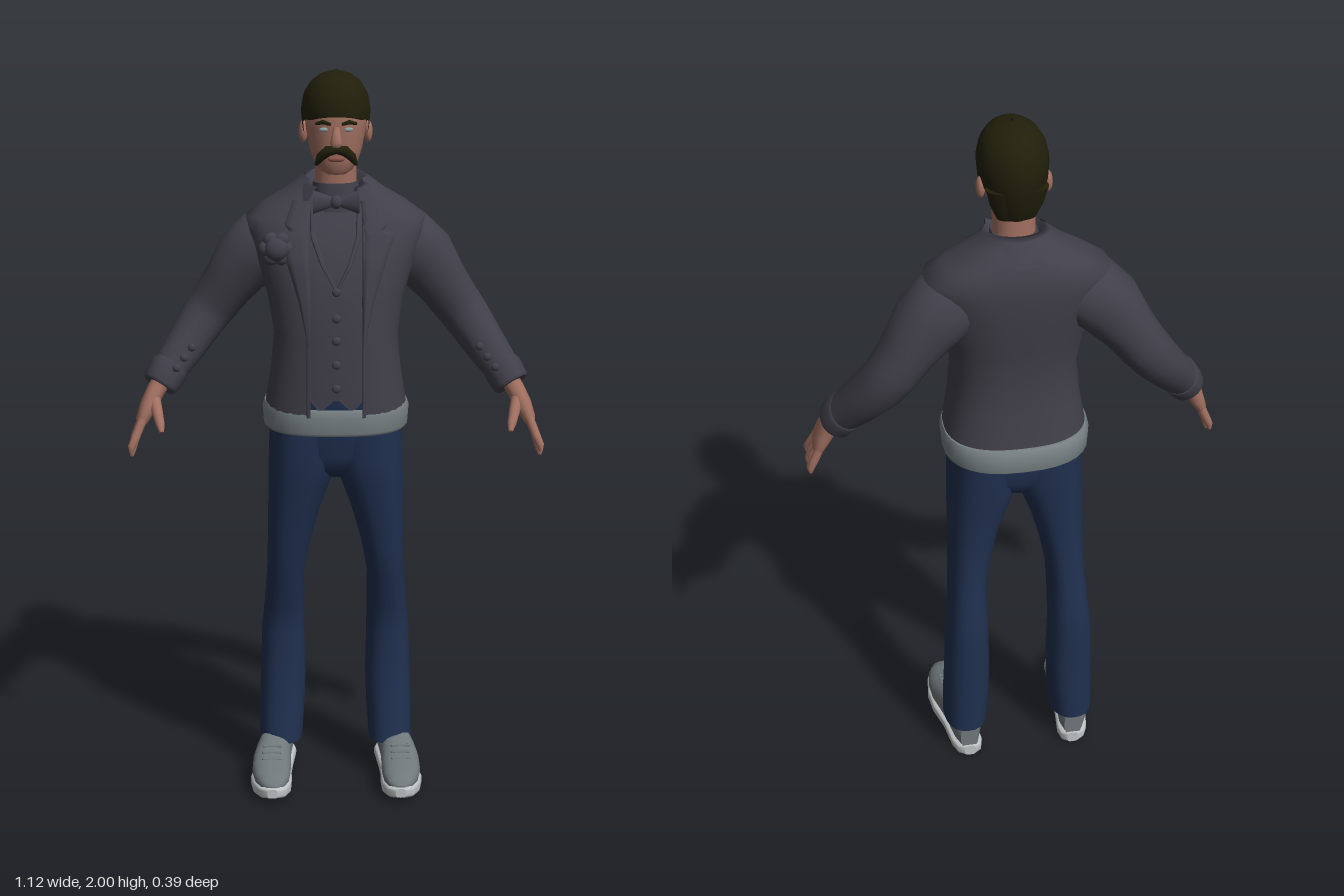
import * as THREE from 'three';

const V = (x, y, z) => new THREE.Vector3(x, y, z);
const X = V(1, 0, 0), Y = V(0, 1, 0), Z = V(0, 0, 1);
const paint = (name, color, side = THREE.FrontSide) => {
  const m = new THREE.MeshStandardMaterial({ color, side });
  m.name = name;
  return m;
};

// Rounded-rectangle outline (n = 2 is an ellipse) around a centre, in the plane of u and v
function ring(c, u, v, a, b, n = 2, from = 0, to = Math.PI * 2, steps = 32) {
  const closed = to - from > 6.28, pts = [];
  for (let i = 0; i < steps + (closed ? 0 : 1); i++) {
    const t = from + ((to - from) * i) / steps, co = Math.cos(t), si = Math.sin(t);
    pts.push(c.clone()
      .addScaledVector(u, a * Math.sign(co) * Math.abs(co) ** (2 / n))
      .addScaledVector(v, b * Math.sign(si) * Math.abs(si) ** (2 / n)));
  }
  return pts;
}

// Skin a list of equal-length rings; closed skins get end caps
function loft(rings, closed = true, caps = closed) {
  const n = rings[0].length, pts = rings.flat(), idx = [];
  for (let r = 0; r < rings.length - 1; r++)
    for (let j = 0; j < (closed ? n : n - 1); j++) {
      const a = r * n + j, b = r * n + ((j + 1) % n);
      idx.push(a, a + n, b, b, a + n, b + n);
    }
  if (caps) [rings[0], rings[rings.length - 1]].forEach((rg, end) => {
    const base = pts.length;
    const mid = rg.reduce((s, p) => s.add(p), V(0, 0, 0)).divideScalar(n);
    pts.push(...rg, mid);
    for (let j = 0; j < n; j++) {
      const p = base + j, q = base + ((j + 1) % n);
      idx.push(...(end ? [p, base + n, q] : [p, q, base + n]));
    }
  });
  const g = new THREE.BufferGeometry().setFromPoints(pts);
  g.setIndex(idx);
  g.computeVertexNormals();
  return g;
}

// Horizontal slices: [y, xMin, xMax, zMin, zMax]
const slice = ([y, x0, x1, z0, z1], n, ...arc) =>
  ring(V((x0 + x1) / 2, y, (z0 + z1) / 2), X, Z, (x1 - x0) / 2, (z1 - z0) / 2, n, ...arc);
const stack = (rows, n = 2.2) => loft(rows.map(r => slice(r, n)));
const sym = ([y, rx, z0, z1]) => [y, -rx, rx, z0, z1];

// Limb through points: [x, y, z, halfWidth, halfDepth]
function limb(rows, n = 2) {
  const p = rows.map(r => V(r[0], r[1], r[2]));
  return loft(rows.map((r, i) => {
    const t = p[Math.min(i + 1, p.length - 1)].clone().sub(p[Math.max(i - 1, 0)]).normalize();
    const v = Z.clone().addScaledVector(t, -t.z).normalize();
    return ring(p[i], t.clone().cross(v), v, r[3], r[4], n, 0, Math.PI * 2, 20);
  }));
}

// Lengthwise shoe sections, toe to heel: [z, centreX, halfWidth, yMin, yMax]
const shoe = (rows, n) => loft(rows.map(([z, x, w, y0, y1]) =>
  ring(V(x, (y0 + y1) / 2, z), X, Y, w, (y1 - y0) / 2, n)));

const ball = (x, y, z, a, b, c) => new THREE.SphereGeometry(1, 16, 12).scale(a, b, c).translate(x, y, z);

function mirrored(geo) {
  const g = geo.clone().scale(-1, 1, 1), i = g.index.array;
  for (let k = 0; k < i.length; k += 3) [i[k], i[k + 1]] = [i[k + 1], i[k]];
  return g;
}

// Interpolate a table keyed by its first column
function lookup(rows, key) {
  let i = 0;
  while (i < rows.length - 2 && key > rows[i + 1][0]) i++;
  const k = THREE.MathUtils.clamp((key - rows[i][0]) / (rows[i + 1][0] - rows[i][0]), 0, 1);
  return rows[i].map((v, c) => v + (rows[i + 1][c] - v) * k);
}

// Jacket: [y, halfWidth, back, front]
const JACKET = [
  [1.09, .194, -.176, .126], [1.2, .176, -.16, .126], [1.3, .167, -.152, .124], [1.4, .183, -.165, .119],
  [1.5, .213, -.182, .102], [1.57, .238, -.187, .075], [1.61, .24, -.188, .052], [1.645, .19, -.182, .035],
  [1.68, .13, -.168, .02], [1.715, .085, -.14, .01]];
const N = 2.5;
const frontZ = (x, y) => {
  const [, rx, z0, z1] = lookup(JACKET, y);
  return (z0 + z1) / 2 + ((z1 - z0) / 2) * Math.max(0, 1 - Math.abs(x / rx) ** N) ** (1 / N);
};

// Thin cloth laid on the jacket front: [y, xInner, xOuter]
function panel(rows, lift) {
  const fine = [];
  rows.forEach((r, i) => {
    for (let k = 0; k < (i < rows.length - 1 ? 4 : 1); k++)
      fine.push(k ? r.map((v, c) => v + (rows[i + 1][c] - v) * k / 4) : r);
  });
  return loft(fine.map(([y, a, b]) => [0, .1, .3, .5, .7, .9, 1].map((s, i) => {
    const x = b + (a - b) * s;
    return V(x, y, frontZ(x, y) + (i === 0 || i === 6 ? -.002 : lift));
  })), false);
}

export function createModel() {
  const model = new THREE.Group();
  model.name = 'standingMan';
  const suit = paint('charcoalCloth', 0x413f49, THREE.DoubleSide);
  const denim = paint('navyCloth', 0x20304f);
  const skin = paint('skin', 0xa06f60);
  const hair = paint('darkHair', 0x211f0a, THREE.DoubleSide);
  const grey = paint('greyLeather', 0x70787b);
  const pale = paint('paleSole', 0xbfc3c3);
  const hem = paint('greyHem', 0x778083);
  const lip = paint('lip', 0x8a5349);
  const eye = paint('eye', 0x8fa3a6);

  const add = (name, geo, mat) => {
    const m = new THREE.Mesh(geo, mat);
    m.name = name;
    model.add(m);
  };
  const pair = (name, geo, mat) => {
    add(name + 'Left', geo, mat);
    add(name + 'Right', mirrored(geo), mat);
  };

  // Trousers
  pair('trouserLeg', stack([
    [.1, .095, .217, -.172, .014], [.2, .088, .216, -.173, -.004], [.3, .085, .212, -.172, -.014],
    [.42, .088, .208, -.176, -.02], [.5, .088, .2, -.175, -.008], [.6, .088, .192, -.155, .03],
    [.7, .07, .189, -.147, .05], [.8, .043, .187, -.147, .068], [.88, .014, .186, -.153, .085],
    [.95, -.01, .184, -.16, .096], [1.06, -.02, .18, -.165, .1]], 2.4), denim);
  add('trouserHips', stack([
    [.9, .03, -.09, .04], [.925, .08, -.13, .075], [.97, .15, -.155, .093], [1.05, .178, -.165, .102],
    [1.15, .165, -.14, .113]].map(sym), 2.4), denim);

  // Shoes
  pair('shoeUpper', shoe([
    [.188, .178, .012, .035, .05], [.175, .178, .033, .03, .066], [.14, .18, .048, .025, .08],
    [.09, .182, .054, .02, .09], [.04, .181, .053, .02, .108], [0, .176, .049, .02, .128],
    [-.06, .166, .044, .02, .14], [-.13, .157, .041, .02, .135], [-.162, .154, .026, .02, .11]], 2.3), grey);
  pair('shoeSole', shoe([
    [.197, .178, .014, .018, .044], [.182, .178, .037, .012, .046], [.14, .18, .053, .004, .046],
    [.08, .183, .058, 0, .043], [.02, .18, .054, 0, .038], [-.05, .167, .046, 0, .034],
    [-.13, .157, .044, 0, .034], [-.158, .154, .034, 0, .034], [-.168, .153, .016, 0, .034]], 4), pale);
  for (let i = 0; i < 3; i++)
    pair('shoeLace' + i, new THREE.CapsuleGeometry(.005, .045, 4, 8).rotateZ(Math.PI / 2)
      .translate(.181, .088 + i * .009, .088 - i * .024), grey);

  // Shirt hem under the jacket
  add('shirtHem', stack([
    [1.036, .188, -.185, .12], [1.045, .197, -.195, .127], [1.09, .2, -.194, .129], [1.107, .194, -.18, .122]]
    .map(sym), N), hem);

  // Waistcoat, its points, neckline and buttons
  add('waistcoat', loft([[1.135, .176, -.15, .118], ...JACKET.slice(1, 9).map(([y, r, a, b]) =>
    [y, r - .012, a + .012, b - .006])].map(r => slice(sym(r), N))), suit);
  pair('waistcoatPoint', panel([[1.112, .035, .05], [1.14, .004, .074]], -.003), suit);
  pair('waistcoatNeckline', panel([[1.44, 0, .008], [1.5, .03, .042], [1.57, .052, .068], [1.66, .055, .07]], .003), suit);
  [1.43, 1.36, 1.3, 1.235, 1.17].forEach((y, i) =>
    add('waistcoatButton' + i, ball(0, y, frontZ(0, y) - .003, .012, .012, .007), suit));

  // Open-fronted jacket shell
  const edge = .075;
  add('jacket', loft(JACKET.map(r => {
    const gap = Math.asin(Math.min(.8, (edge / r[1]) ** (N / 2)));
    return slice(sym(r), N, Math.PI / 2 + gap, Math.PI * 2.5 - gap, 48);
  }), false), suit);
  pair('jacketFrontEdge', panel([[1.09, .069, .08], [1.3, .069, .08], [1.5, .069, .08], [1.6, .069, .08]], .005), suit);
  pair('lapel', panel([[1.28, .07, .074], [1.4, .068, .1], [1.5, .069, .13], [1.575, .07, .158],
    [1.585, .07, .125], [1.6, .07, .138], [1.66, .062, .115]], .009), suit);

  // Folded collar, rising towards the nape
  const collarRing = (rx, z0, z1, yFront, yBack) =>
    slice([0, -rx, rx, z0, z1], 2, Math.PI * .72, Math.PI * 2.28, 32).map(p =>
      p.setY(yFront + (yBack - yFront) * THREE.MathUtils.clamp((.03 - p.z) / .16, 0, 1)));
  add('jacketCollar', loft([collarRing(.066, -.105, .04, 1.66, 1.69), collarRing(.076, -.122, .05, 1.695, 1.735),
    collarRing(.09, -.14, .053, 1.69, 1.725), collarRing(.127, -.176, .058, 1.645, 1.67)].reverse(), false), suit);

  // Sleeves, cuffs and cuff buttons
  pair('sleeve', limb([
    [.14, 1.545, -.075, .075, .085], [.195, 1.525, -.085, .095, .097], [.238, 1.487, -.092, .09, .095],
    [.29, 1.415, -.1, .073, .084], [.325, 1.365, -.107, .068, .078], [.36, 1.318, -.103, .064, .074],
    [.415, 1.24, -.06, .056, .064], [.47, 1.168, -.016, .046, .054]], 2.2), suit);
  pair('cuff', limb([[.449, 1.196, -.034, .05, .058], [.455, 1.188, -.028, .054, .062],
    [.476, 1.154, -.012, .051, .059], [.48, 1.148, -.009, .045, .053]], 2.2), suit);
  [[.39, 1.255, -.003], [.41, 1.23, .013], [.43, 1.205, .027]].forEach((p, i) =>
    pair('cuffButton' + i, ball(...p, .011, .011, .008), suit));

  // Hands
  pair('palm', limb([[.468, 1.17, -.01, .027, .034], [.49, 1.135, .002, .025, .034],
    [.508, 1.1, .014, .024, .045], [.526, 1.06, .02, .018, .046], [.532, 1.045, .022, .011, .04]], 2.4), skin);
  [[.058, .085, .985], [.034, .054, .967], [.01, .018, .965], [-.014, -.016, .985]].forEach(([z0, z1, y], i) =>
    pair('finger' + i, limb([[.522, 1.07, z0, .012, .012], [.541, 1.025, (z0 + z1) / 2 + .002, .012, .012],
      [.552, y + .017, z1, .01, .01], [.554, y, z1, .005, .005]]), skin));
  pair('thumb', limb([[.492, 1.125, .02, .016, .018], [.482, 1.09, .06, .015, .015],
    [.473, 1.062, .086, .012, .012], [.469, 1.045, .1, .006, .006]]), skin);

  // Neck, shirt collar and bow tie
  add('neck', stack([[1.65, .06, -.09, .025], [1.7, .055, -.088, .025], [1.8, .055, -.085, .035]].map(sym)), skin);
  add('shirtCollar', stack([[1.63, .075, -.1, .04], [1.68, .064, -.098, .038], [1.705, .06, -.096, .034]].map(sym)), suit);
  pair('bowWing', new THREE.CylinderGeometry(.032, .013, .052, 16).rotateZ(-Math.PI / 2)
    .scale(1, 1, .5).translate(.035, 1.66, .047), suit);
  add('bowKnot', ball(0, 1.66, .051, .016, .018, .013), suit);

  // Buttonhole flower
  const fz = frontZ(.158, 1.54) + .012;
  add('flowerCentre', ball(-.158, 1.54, fz + .008, .032, .032, .022), suit);
  for (let i = 0; i < 6; i++) {
    const a = i * Math.PI / 3;
    add('flowerPetal' + i, ball(-.158 + .027 * Math.cos(a), 1.54 + .027 * Math.sin(a), fz, .021, .021, .016), suit);
  }

  // Head and facial features
  add('head', stack([
    [1.735, .026, .015, .066], [1.745, .043, -.02, .077], [1.77, .06, -.06, .083], [1.8, .07, -.08, .086],
    [1.85, .079, -.095, .09], [1.9, .082, -.105, .093], [1.95, .065, -.08, .072]].map(sym)), skin);
  add('nose', limb([[0, 1.862, .088, .008, .006], [0, 1.84, .095, .012, .011], [0, 1.822, .1, .017, .015],
    [0, 1.813, .097, .012, .01]]), skin);
  add('mouth', ball(0, 1.779, .085, .022, .008, .007), lip);
  pair('ear', ball(.086, 1.835, -.035, .012, .03, .019), skin);
  pair('eye', ball(.031, 1.856, .084, .013, .006, .005), eye);
  pair('eyebrow', limb([[.052, 1.87, .074, .004, .005], [.034, 1.876, .086, .006, .005],
    [.014, 1.87, .09, .004, .004]]), hair);
  pair('moustache', limb([[-.002, 1.806, .097, .011, .012], [.022, 1.802, .096, .014, .012],
    [.041, 1.785, .087, .012, .011], [.052, 1.764, .074, .005, .006]]), hair);

  // Hair cap whose lower edge follows hairline, sideburns and nape
  const HAIR = [[1.755, .056, -.09, .07], [1.79, .07, -.107, .08], [1.85, .088, -.122, .094], [1.9, .092, -.126, .103],
    [1.94, .084, -.117, .096], [1.97, .066, -.096, .076], [1.99, .04, -.062, .045], [2, .004, -.012, 0]];
  const HAIRLINE = [[-1, 1.757], [-.7, 1.765], [-.5, 1.81], [-.32, 1.85], [-.12, 1.845], [-.02, 1.83],
    [.12, 1.835], [.3, 1.875], [.7, 1.878], [1, 1.89]];
  const capRings = [];
  for (let r = 0; r <= 16; r++) {
    capRings.push(Array.from({ length: 48 }, (_, j) => {
      const a = (j / 48) * Math.PI * 2, low = lookup(HAIRLINE, Math.sin(a))[1];
      const y = low + (2 - low) * Math.sin((r / 16) * Math.PI / 2);
      const [, rx, z0, z1] = lookup(HAIR, y);
      return V(rx * Math.cos(a), y, (z0 + z1) / 2 + ((z1 - z0) / 2) * Math.sin(a));
    }));
  }
  add('hairCap', loft(capRings, true, false), hair);
  add('napeHair', stack([[1.757, .05, -.088, -.04], [1.8, .068, -.104, -.04], [1.85, .08, -.115, -.04]].map(sym)), hair);

  return model;
}
